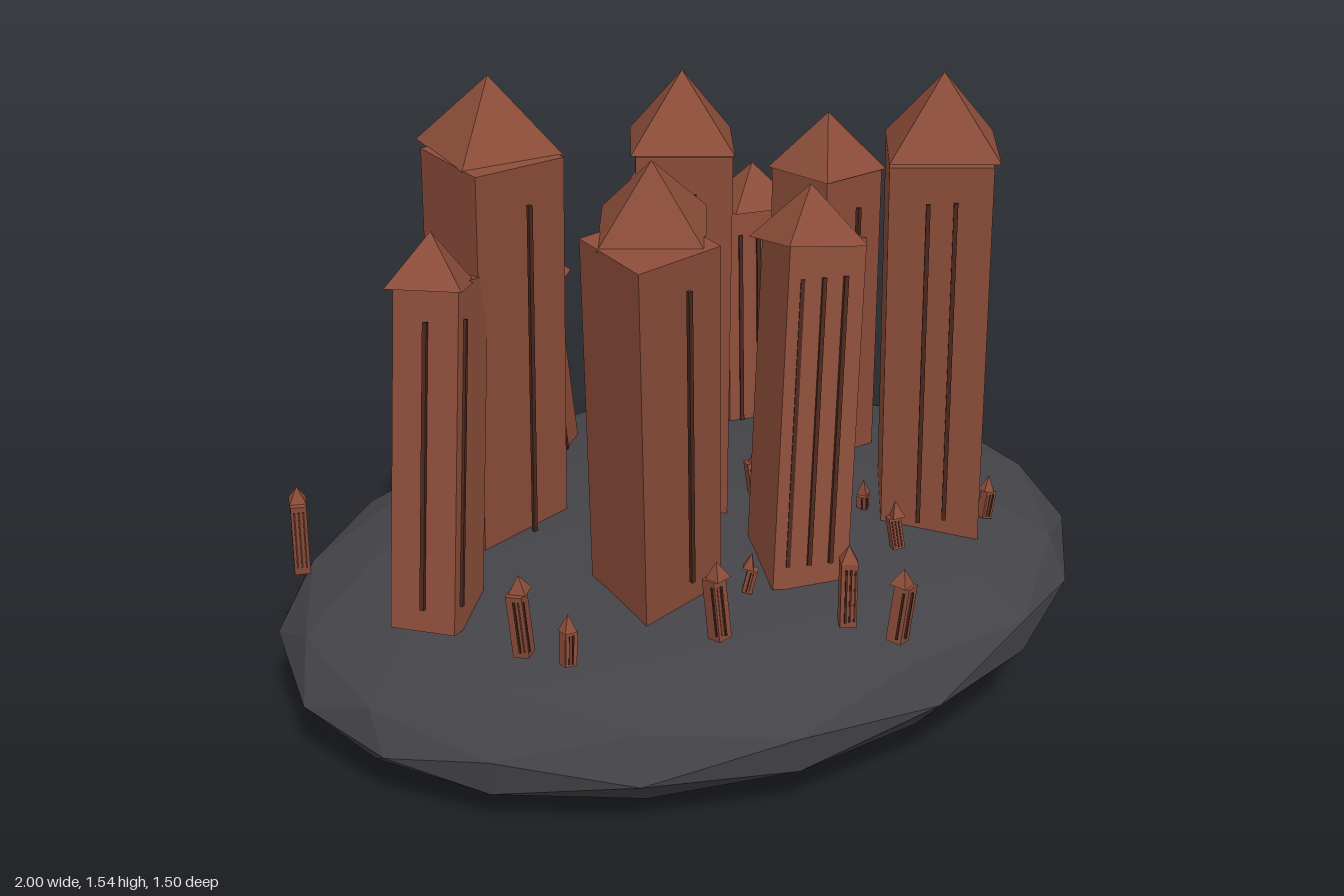
import * as THREE from 'three';

const brick = new THREE.MeshStandardMaterial({ color: 0x8b4c39, flatShading: true });
brick.name = 'red brown stone';
const groove = new THREE.MeshStandardMaterial({ color: 0x4a271d, flatShading: true });
groove.name = 'dark groove';
const rock = new THREE.MeshStandardMaterial({ color: 0x434347, flatShading: true });
rock.name = 'dark rock';

const UP = new THREE.Vector3(0, 1, 0);

// Leaning square tower: shaft tilted about its middle, pyramid roof, three thin ribs in front.
// dx, dz: how far the top of the shaft leans from its middle.
function tower(name, { x, z, y0, eave, tip, w, yaw = 0, roofYaw = yaw, dx = 0, dz = 0 }) {
  const g = new THREE.Group();
  g.name = name;
  const h = eave - y0;
  const lean = new THREE.Quaternion().setFromUnitVectors(
    UP, new THREE.Vector3(2 * dx / h, 1, 2 * dz / h).normalize());
  const turned = a => lean.clone().multiply(new THREE.Quaternion().setFromAxisAngle(UP, a));
  const add = (part, geo, mat, px, py, pz, a) => {
    const m = new THREE.Mesh(geo, mat);
    m.name = part;
    m.position.set(px, py, pz);
    m.quaternion.copy(turned(a));
    g.add(m);
  };
  const mid = (y0 + eave) / 2;
  add('shaft', new THREE.BoxGeometry(w, h, w), brick, x, mid, z, yaw);
  add('roof', new THREE.ConeGeometry(w * 0.76, tip - eave, 4).rotateY(Math.PI / 4),
    brick, x, (tip + eave) / 2, z, roofYaw);
  const t = Math.min(0.01, w * 0.12);
  for (const k of [-1, 0, 1])
    add('rib', new THREE.BoxGeometry(t, h * 0.82, t), groove, x + k * w * 0.28, mid, z + w * 0.52, yaw);
  return g;
}

export function createModel() {
  const model = new THREE.Group();
  model.name = 'rock with towers';

  // Tilted, flattened rock
  const base = new THREE.Mesh(new THREE.IcosahedronGeometry(1, 2), rock);
  base.name = 'floatingRock';
  base.geometry.scale(1.01, 0.225, 0.77);
  base.rotation.set(0.13, 0.13, 0.07);
  base.position.y = 0.25;
  model.add(base);

  // Large towers
  const large = [
    { x: -0.44, z: -0.05, y0: 0.3, eave: 1.36, tip: 1.53, w: 0.235, yaw: 0.42, roofYaw: 0.3, dz: 0.04 },
    { x: -0.61, z: 0.18, y0: 0.31, eave: 1.12, tip: 1.24, w: 0.16, yaw: -0.55, roofYaw: -0.3, dx: 0.03, dz: -0.07 },
    { x: -0.15, z: 0.37, y0: 0.36, eave: 1.27, tip: 1.43, w: 0.215, yaw: 0.42, roofYaw: -0.25, dx: -0.02, dz: 0.065 },
    { x: 0, z: 0, y0: 0.35, eave: 1.36, tip: 1.53, w: 0.22, yaw: -0.2, dz: 0.015 },
    { x: 0.02, z: -0.21, y0: 0.33, eave: 1.21, tip: 1.35, w: 0.18, yaw: -0.25, dx: 0.03, dz: -0.1 },
    { x: 0.24, z: 0.24, y0: 0.36, eave: 1.18, tip: 1.31, w: 0.185, yaw: 0.08, roofYaw: 0.2, dx: 0.035, dz: -0.075 },
    { x: 0.41, z: -0.19, y0: 0.36, eave: 1.22, tip: 1.36, w: 0.19, yaw: 0.5 },
    { x: 0.58, z: 0.15, y0: 0.36, eave: 1.35, tip: 1.53, w: 0.235, yaw: -0.28, dx: -0.015, dz: 0.025 },
    { x: 0.29, z: -0.45, y0: 0.38, eave: 1.06, tip: 1.17, w: 0.17, yaw: 0.06, roofYaw: 0.2, dz: -0.025 },
    { x: -0.28, z: -0.38, y0: 0.38, eave: 0.92, tip: 1.0, w: 0.11, yaw: -0.5, dx: -0.03, dz: 0.02 },
    { x: -0.17, z: 0.1, y0: 0.38, eave: 0.87, tip: 0.95, w: 0.09, yaw: -0.4, dx: 0.01 },
  ];
  for (const t of large) model.add(tower('tower', t));

  // Small spires: x, z, foot, tip
  const small = [
    [-0.93, -0.05, 0.33, 0.56], [-0.57, -0.45, 0.4, 0.5], [-0.04, -0.52, 0.42, 0.53],
    [0.075, -0.52, 0.43, 0.52], [0.02, -0.465, 0.43, 0.52], [0.37, -0.555, 0.45, 0.58],
    [0.785, -0.06, 0.43, 0.56], [0.73, 0.18, 0.41, 0.52], [0.42, 0.15, 0.43, 0.53],
    [0.45, 0.31, 0.42, 0.54], [0.36, 0.63, 0.35, 0.53], [0.265, 0.53, 0.35, 0.55],
    [-0.04, 0.525, 0.35, 0.54], [0.07, 0.4, 0.39, 0.49], [-0.395, 0.62, 0.38, 0.5],
    [-0.48, 0.49, 0.34, 0.54], [-0.42, -0.24, 0.4, 0.55], [-0.36, -0.25, 0.4, 0.55],
    [0.175, 0.06, 0.42, 0.6], [-0.04, 0.23, 0.42, 0.56],
  ];
  small.forEach(([x, z, y0, tip], i) => {
    const h = tip - y0;
    model.add(tower('spire', {
      x, z, y0, tip, eave: tip - 0.04, w: Math.min(0.038, h * 0.24), yaw: i * 0.7,
      dx: 0.008 * Math.sin(i * 2), dz: 0.012 * Math.cos(i * 3),
    }));
  });
  return model;
}
